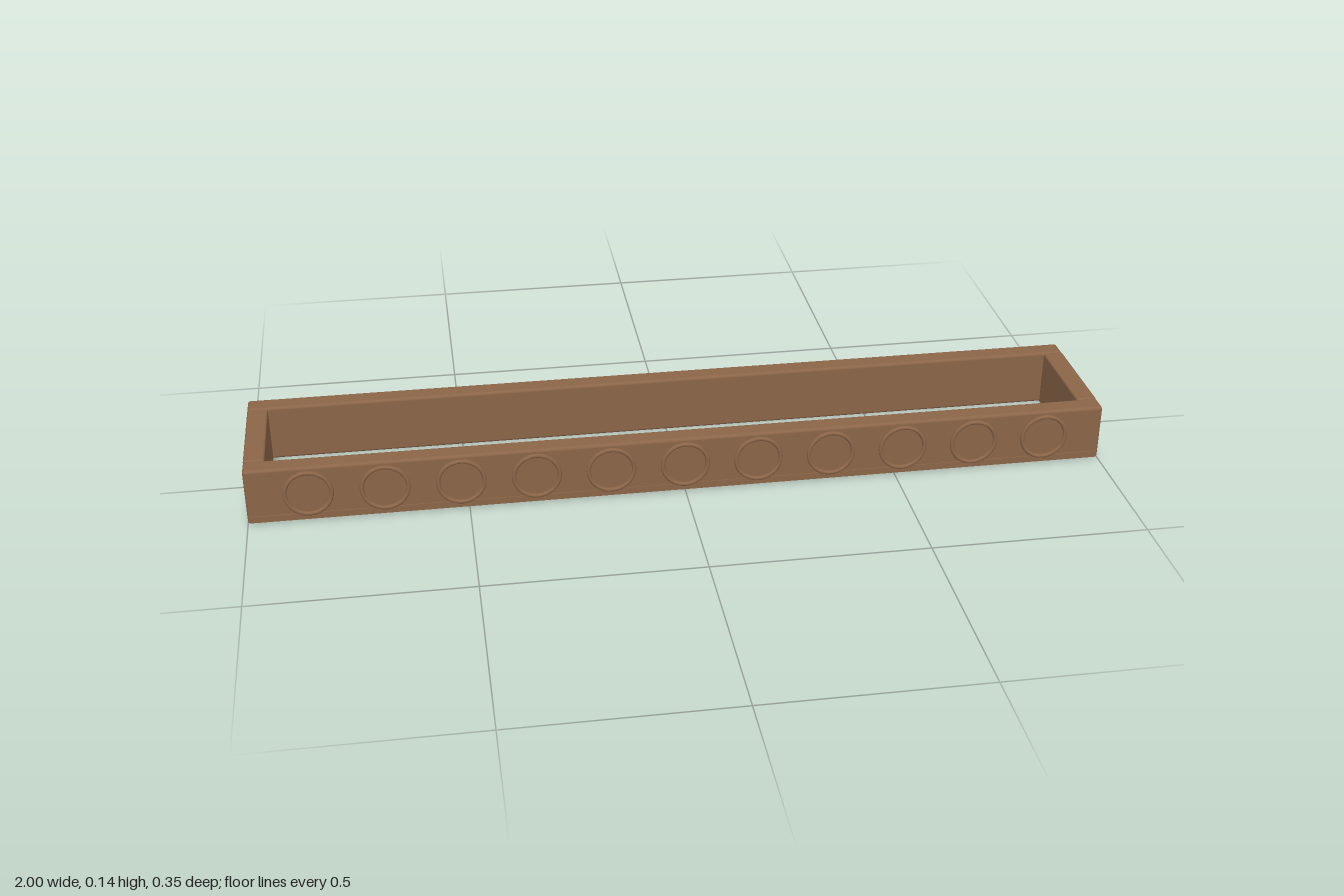
import * as THREE from 'three';
import { RoundedBoxGeometry } from 'three/addons/geometries/RoundedBoxGeometry.js';

export function createModel() {
  const group = new THREE.Group();
  group.name = 'carvedFrame';
  const wood = new THREE.MeshStandardMaterial({ color: 0x8b6548 });
  wood.name = 'brown wood';

  const height = 0.137;
  const add = (name, geometry, x, y, z) => {
    const mesh = new THREE.Mesh(geometry, wood);
    mesh.name = name;
    mesh.position.set(x, y, z);
    group.add(mesh);
    return mesh;
  };

  // Long rails at front and back
  const rail = new RoundedBoxGeometry(2, height, 0.048, 3, 0.007);
  add('frontRail', rail, 0, height / 2, 0.146);
  add('backRail', rail, 0, height / 2, -0.15);

  // Short end rails fitted between them
  const end = new RoundedBoxGeometry(0.048, height, 0.248, 3, 0.005);
  for (const side of [-1, 1]) {
    add(side > 0 ? 'leftEndRail' : 'rightEndRail', end, side * 0.976, height / 2, -0.002);
  }

  // Slim moulding along the foot of the front rail
  add('frontMoulding', new THREE.BoxGeometry(1.99, 0.016, 0.006), 0, 0.012, 0.169);

  // Row of carved rings across the front
  const ring = new THREE.TorusGeometry(0.0525, 0.005, 10, 40);
  for (let i = -5; i <= 5; i++) {
    add('carvedRing', ring, i * 0.172, 0.07, 0.17);
  }
  return group;
}
